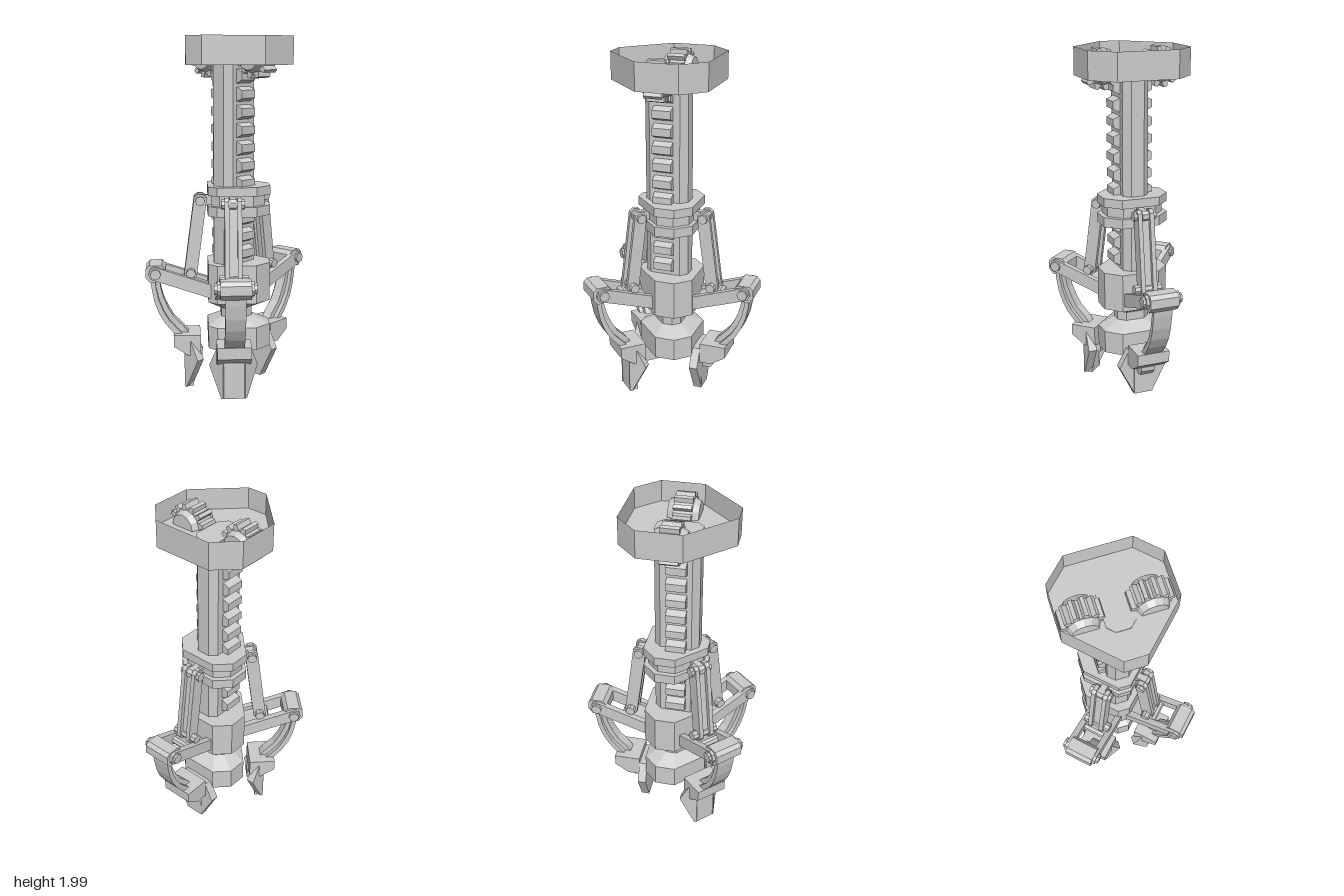
import * as THREE from 'three';

const mat = new THREE.MeshStandardMaterial({ color: 0xcccccc, flatShading: true, side: THREE.DoubleSide });

function add(parent, name, geometry, x = 0, y = 0, z = 0) {
  const mesh = new THREE.Mesh(geometry, mat);
  mesh.name = name;
  mesh.position.set(x, y, z);
  parent.add(mesh);
  return mesh;
}

const toShape = (pts) => new THREE.Shape(pts.map(([x, y]) => new THREE.Vector2(x, y)));

// Extruded profile, centred on its depth
function prism(pts, depth) {
  return new THREE.ExtrudeGeometry(toShape(pts), { depth, bevelEnabled: false }).translate(0, 0, -depth / 2);
}

// Straight bar between two points of the xy plane, with chamfered ends
function bar(a, b, width, depth) {
  const len = Math.hypot(b[0] - a[0], b[1] - a[1]), w = width / 2, c = w * 0.45;
  const pts = [[-w, -c], [-c, -w], [len + c, -w], [len + w, -c], [len + w, c], [len + c, w], [-c, w], [-w, c]];
  return prism(pts, depth).rotateZ(Math.atan2(b[1] - a[1], b[0] - a[0])).translate(a[0], a[1], 0);
}

const pin = (radius, length) => new THREE.CylinderGeometry(radius, radius, length, 8).rotateX(Math.PI / 2);

// Closed plan outline (x, z) from its +x half, listed front to back
const mirrored = (half) => [...half, ...half.map(([x, z]) => [-x, z]).reverse()];
const scaled = (pts, s, cz = 0.04) => pts.map(([x, z]) => [x * s, cz + (z - cz) * s]);

// Skin through plan outlines at rising heights: [[y, outline], ...]
function loft(sections, caps = true) {
  const pos = [], n = sections[0][1].length;
  const put = (s, i) => pos.push(s[1][i % n][0], s[0], s[1][i % n][1]);
  for (let k = 0; k + 1 < sections.length; k++) {
    const lo = sections[k], hi = sections[k + 1];
    for (let i = 0; i < n; i++) {
      put(lo, i); put(lo, i + 1); put(hi, i + 1);
      put(lo, i); put(hi, i + 1); put(hi, i);
    }
  }
  if (caps) {
    const lo = sections[0], hi = sections[sections.length - 1];
    for (let i = 1; i < n - 1; i++) {
      put(hi, 0); put(hi, i); put(hi, i + 1);
      put(lo, 0); put(lo, i + 1); put(lo, i);
    }
  }
  const g = new THREE.BufferGeometry();
  g.setAttribute('position', new THREE.Float32BufferAttribute(pos, 3));
  g.computeVertexNormals();
  return g;
}

const housingPlan = mirrored([[0.06, 0.355], [0.295, 0.12], [0.295, -0.12], [0.175, -0.24]]);
const hubPlan = mirrored([[0.035, 0.215], [0.19, 0.06], [0.19, -0.055], [0.11, -0.135]]);
const shaftPlan = mirrored([[0.038, 0.165], [0.075, 0.128], [0.075, -0.048], [0.038, -0.085]]);

function makeGear() {
  const gear = new THREE.Group(), pts = [], teeth = 12;
  gear.name = 'gear';
  for (let i = 0; i < teeth; i++) {
    for (const [f, r] of [[0, 0.088], [0.3, 0.088], [0.48, 0.113], [0.82, 0.113]]) {
      const a = ((i + f) / teeth) * Math.PI * 2;
      pts.push([r * Math.cos(a), r * Math.sin(a)]);
    }
  }
  add(gear, 'gearTeeth', prism(pts, 0.1));
  for (const s of [1, -1]) {
    const flange = new THREE.CylinderGeometry(0.068, 0.084, 0.035, 12).rotateX(s * Math.PI / 2);
    add(gear, 'gearFlange', flange, 0, 0, s * 0.0665);
  }
  return gear;
}

// One finger: local x is outward, y up, z sideways
function makeArm(fold, clawR) {
  const arm = new THREE.Group();

  // upper link hanging from the sliding collar
  const top = [0.177, 1.095], low = [0.232, 0.685], knuckle = [0.43, 0.69];
  add(arm, 'collarLug', bar([0.1, 1.095], top, 0.06, 0.035));
  add(arm, 'linkWeb', bar(top, low, 0.03, 0.05));
  for (const s of [1, -1]) {
    add(arm, 'linkBar', bar(top, low, 0.072, 0.025), 0, 0, s * 0.035);
    add(arm, 'armBar', bar([0.12, 0.585], knuckle, 0.075, 0.035), 0, 0, s * 0.082);
  }
  add(arm, 'upperPin', pin(0.027, 0.13), ...top, 0);
  add(arm, 'lowerPin', pin(0.027, 0.16), ...low, 0);
  add(arm, 'armBrace', bar([0.12, 0.575], [0.27, 0.63], 0.045, 0.13));

  // knuckle block and its pin
  add(arm, 'knuckle', prism([[0.375, 0.65], [0.46, 0.635], [0.487, 0.665], [0.485, 0.715], [0.465, 0.735],
    [0.395, 0.735], [0.375, 0.71]], 0.165));
  add(arm, 'knucklePin', pin(0.03, 0.228), ...knuckle, 0);

  // curved finger: outer band with a raised inner rib
  const outer = [[0.46, 0.66], [0.455, 0.6], [0.44, 0.52], [0.415, 0.45], [0.38, 0.39], [0.33, 0.33], [0.3, 0.31]];
  const mid = [[0.435, 0.66], [0.43, 0.6], [0.415, 0.53], [0.39, 0.465], [0.355, 0.405], [0.305, 0.35], [0.28, 0.325]];
  const inner = [[0.41, 0.66], [0.405, 0.6], [0.39, 0.54], [0.362, 0.475], [0.33, 0.42], [0.275, 0.365], [0.25, 0.33]];
  add(arm, 'fingerBand', prism([...outer, ...mid.slice().reverse()], 0.11));
  add(arm, 'fingerRib', prism([...mid, ...inner.slice().reverse()], 0.06));

  // claw mount
  add(arm, 'clawMount', prism([[0.18, 0.33], [0.18, 0.21], [0.25, 0.21], [0.333, 0.265], [0.333, 0.33]], 0.19));
  add(arm, 'clawMountFoot', prism([[0.17, 0.22], [0.17, 0.155], [0.228, 0.155], [0.25, 0.185], [0.25, 0.22]], 0.08));

  // claw: a centre plate with two tapering wings
  add(arm, 'clawPlate', new THREE.BoxGeometry(0.05, 0.28, 0.115), clawR, 0.155, 0);
  for (const s of [1, -1]) {
    const wing = add(arm, 'clawWing', prism([[-0.015, 0.015], [0, 0.015], [0.09, 0.19], [0.035, 0.295], [-0.015, 0.295]], 0.049),
      clawR, 0, s * 0.055);
    wing.rotation.y = Math.atan2(-s * Math.cos(fold), -Math.sin(fold));
  }
  return arm;
}

export function createModel() {
  const model = new THREE.Group();
  model.name = 'mechanicalGripper';

  // open gear housing: walls, recessed floor and bottom rim
  const lip = scaled(housingPlan, 0.92);
  add(model, 'housingWall', loft([[1.88, lip], [1.845, lip], [1.845, housingPlan], [2, housingPlan]], false));
  const floor = new THREE.ShapeGeometry(toShape(housingPlan.map(([x, z]) => [x, -z]))).rotateX(-Math.PI / 2);
  add(model, 'housingFloor', floor, 0, 1.88, 0);

  // shaft with a toothed rack and a gear on each side
  add(model, 'shaft', loft([[0.7, shaftPlan], [1.885, shaftPlan]]));
  const tooth = [[0, -0.042], [0.045, -0.022], [0.045, 0.022], [0, 0.042]];
  for (const s of [1, -1]) {
    for (let i = 0; i < 11; i++) {
      const t = add(model, 'rackTooth', prism(tooth, 0.11), s * 0.07, 0.8 + i * 0.0985, 0.045);
      if (s < 0) t.rotation.y = Math.PI;
    }
    const gear = makeGear();
    gear.position.set(s * 0.174, 1.885, 0.037);
    model.add(gear);
  }

  // sliding collar with a groove
  const groove = scaled(hubPlan, 0.86);
  add(model, 'collar', loft([[1.015, hubPlan], [1.07, hubPlan], [1.07, groove], [1.13, groove], [1.13, hubPlan], [1.18, hubPlan]]));

  // hub, waist and lower block
  const waist = scaled(hubPlan, 0.5);
  add(model, 'hub', loft([[0.25, hubPlan], [0.38, hubPlan], [0.425, waist], [0.475, waist], [0.52, hubPlan], [0.74, hubPlan]]));

  // one rear arm and two front arms
  const arms = [['rearArm', 90, 0, 0, 0.155], ['frontLeftArm', -45, 0.06, Math.PI / 4, 0.245],
    ['frontRightArm', -135, 0.06, Math.PI / 4, 0.245]];
  for (const [name, deg, z, fold, clawR] of arms) {
    const arm = makeArm(fold, clawR);
    arm.name = name;
    arm.position.z = z;
    arm.rotation.y = THREE.MathUtils.degToRad(deg);
    model.add(arm);
  }

  model.position.set(-0.004, 0, 0);
  return model;
}
